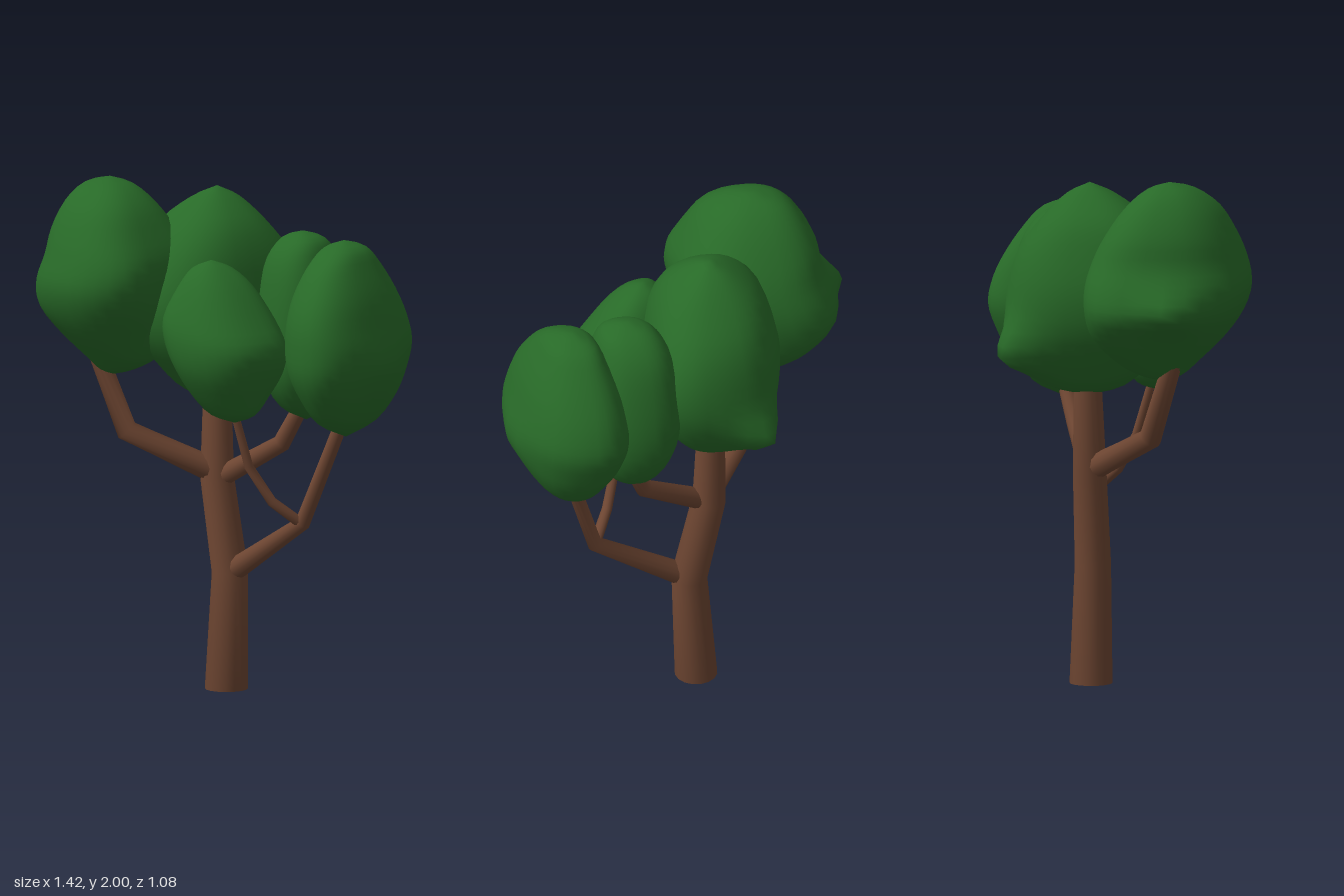
import * as THREE from 'three';

const bark = new THREE.MeshStandardMaterial({ color: 0x6e4632 });
const leaf = new THREE.MeshStandardMaterial({ color: 0x286a28 });
const V = (x, y, z) => new THREE.Vector3(x, y, z);

// Smooth skin over closed rings of points, with a point closing each end
function skin(rings, start, end) {
  const n = rings[0].length, last = rings.length - 1;
  const points = [...rings.flat(), start, end];
  const s = points.length - 2, e = s + 1, index = [];
  for (let i = 0; i < n; i++) {
    const k = (i + 1) % n;
    for (let j = 0; j < last; j++) {
      const a = j * n + i, b = j * n + k;
      index.push(a, b, a + n, b, b + n, a + n);
    }
    index.push(s, k, i, e, last * n + i, last * n + k);
  }
  const geometry = new THREE.BufferGeometry().setFromPoints(points);
  geometry.setIndex(index);
  geometry.computeVertexNormals();
  return geometry;
}

// Tapered, mitred limb through nodes [x, y, z, radius]
function limb(name, nodes, sides = 12) {
  const pts = nodes.map(([x, y, z]) => V(x, y, z));
  const rings = pts.map((p, i) => {
    const t = V(0, 0, 0);
    if (i > 0) t.add(p.clone().sub(pts[i - 1]).normalize());
    if (i < pts.length - 1) t.add(pts[i + 1].clone().sub(p).normalize());
    if (i === 0 && p.y === 0) t.set(0, 1, 0);
    t.normalize();
    const u = V(0, 0, 1).cross(t).normalize(), v = t.clone().cross(u);
    return Array.from({ length: sides }, (_, k) => {
      const a = (k / sides) * Math.PI * 2;
      return p.clone().addScaledVector(u, nodes[i][3] * Math.cos(a)).addScaledVector(v, nodes[i][3] * Math.sin(a));
    });
  });
  const mesh = new THREE.Mesh(skin(rings, pts[0].clone(), pts[pts.length - 1].clone()), bark);
  mesh.name = name;
  return mesh;
}

// Slightly squared-off wave, for fuller ovals
const full = w => Math.sign(w) * Math.abs(w) ** 0.86;

// Leaf clump from sections [y, xMin, xMax, zMin, zMax], top to bottom.
// skew leans each oval in plan; bumps are [x, y, z, width, push x, y, z]
function clump(name, sections, skew = 0, bumps = [], sides = 28) {
  const low = new THREE.CatmullRomCurve3(sections.map(s => V(s[1], s[0], s[3])), false, 'catmullrom');
  const high = new THREE.CatmullRomCurve3(sections.map(s => V(s[2], s[0], s[4])), false, 'catmullrom');
  const steps = (sections.length - 1) * 3;
  const rings = [];
  for (let j = 1; j < steps; j++) {
    const a = low.getPoint(j / steps), b = high.getPoint(j / steps);
    rings.push(Array.from({ length: sides }, (_, k) => {
      const t = (k / sides) * Math.PI * 2;
      const p = V((a.x + b.x) / 2 + (b.x - a.x) / 2 * full(Math.cos(t)), a.y,
        (a.z + b.z) / 2 + (b.z - a.z) / 2 * full(Math.sin(t + skew)));
      const from = p.clone();
      for (const [x, y, z, w, dx, dy, dz] of bumps) {
        const f = Math.exp(-from.distanceToSquared(V(x, y, z)) / (w * w));
        p.addScaledVector(V(dx, dy, dz), f);
      }
      return p;
    }));
  }
  const mesh = new THREE.Mesh(skin(rings, low.getPoint(0), low.getPoint(1)), leaf);
  mesh.name = name;
  return mesh;
}

export function createModel() {
  const tree = new THREE.Group();
  tree.name = 'tree';

  // Trunk with a flat, sharp-edged foot
  tree.add(limb('trunk', [[-0.058, 0, -0.1, 0.083], [-0.033, 0.46, -0.095, 0.07],
    [-0.11, 0.82, -0.1, 0.065], [-0.118, 1.3, -0.11, 0.05]], 16));
  const foot = new THREE.Mesh(new THREE.CircleGeometry(0.083, 16).rotateX(Math.PI / 2).translate(-0.058, -0.001, -0.1), bark);
  foot.name = 'trunkFoot';
  tree.add(foot);

  // Branches
  tree.add(
    limb('rightBranch', [[-0.1, 0.835, -0.1, 0.05], [-0.345, 1.0, 0.155, 0.044], [-0.42, 1.35, 0.26, 0.036]]),
    limb('backBranch', [[-0.09, 0.82, -0.1, 0.042], [0.165, 0.975, -0.18, 0.035], [0.26, 1.2, -0.25, 0.028]]),
    limb('leftBranch', [[-0.03, 0.455, -0.09, 0.046], [0.345, 0.695, -0.12, 0.03], [0.48, 1.15, -0.23, 0.026]]),
    limb('frontTwig', [[0.345, 0.69, -0.12, 0.022], [0.275, 0.78, -0.025, 0.02], [0.225, 0.92, 0.05, 0.018], [0.205, 1.2, 0.13, 0.015]]),
  );

  // Leaf clumps
  tree.add(
    clump('rightClump', [
      [2.0, -0.36, -0.36, 0.23, 0.23], [1.97, -0.47, -0.25, 0.14, 0.33], [1.9, -0.54, -0.16, 0.06, 0.42],
      [1.8, -0.59, -0.1, -0.01, 0.48], [1.7, -0.61, -0.06, -0.06, 0.52], [1.6, -0.65, -0.06, -0.09, 0.54],
      [1.5, -0.66, -0.08, -0.09, 0.51], [1.4, -0.58, -0.13, -0.06, 0.44], [1.3, -0.48, -0.19, 0.03, 0.34],
      [1.25, -0.42, -0.27, 0.12, 0.28], [1.225, -0.36, -0.36, 0.21, 0.21],
    ], 0.22, [[-0.66, 1.53, 0.26, 0.085, -0.065, 0, 0.01], [-0.14, 1.68, 0.03, 0.16, 0.035, 0, -0.03],
      [-0.06, 1.62, 0.4, 0.12, 0.02, 0, 0.01]]),
    clump('middleClump', [
      [1.955, -0.11, -0.11, -0.1, -0.1], [1.91, -0.2, -0.03, -0.19, 0], [1.82, -0.3, 0.06, -0.28, 0.12],
      [1.7, -0.35, 0.11, -0.36, 0.21], [1.55, -0.38, 0.13, -0.4, 0.26], [1.4, -0.36, 0.13, -0.41, 0.24],
      [1.27, -0.29, 0.09, -0.36, 0.15], [1.17, -0.21, 0.01, -0.27, 0.04], [1.125, -0.1, -0.1, -0.11, -0.11],
    ], 0, [[-0.24, 1.31, -0.33, 0.1, -0.05, -0.02, -0.1], [0.06, 1.55, -0.34, 0.2, 0.04, 0, -0.04]]),
    clump('backClump', [
      [1.81, 0.24, 0.24, -0.22, -0.22], [1.78, 0.15, 0.33, -0.31, -0.14], [1.7, 0.09, 0.37, -0.38, -0.08],
      [1.57, 0.06, 0.4, -0.42, -0.05], [1.4, 0.05, 0.41, -0.44, -0.04], [1.25, 0.08, 0.39, -0.42, -0.05],
      [1.13, 0.15, 0.33, -0.35, -0.12], [1.07, 0.24, 0.24, -0.24, -0.24],
    ], 0.2),
    clump('leftClump', [
      [1.8, 0.46, 0.46, -0.23, -0.23], [1.77, 0.38, 0.55, -0.33, -0.13], [1.7, 0.34, 0.6, -0.4, -0.04],
      [1.6, 0.3, 0.65, -0.47, 0.03], [1.5, 0.28, 0.68, -0.52, 0.07], [1.4, 0.27, 0.7, -0.54, 0.08],
      [1.3, 0.29, 0.69, -0.51, 0.07], [1.2, 0.34, 0.65, -0.46, 0.02], [1.1, 0.4, 0.58, -0.37, -0.07],
      [1.035, 0.47, 0.47, -0.23, -0.23],
    ], 0.3, [[0.69, 1.33, -0.22, 0.09, 0.02, 0, 0]]),
    clump('frontClump', [
      [1.72, 0.1, 0.1, 0.13, 0.13], [1.69, 0.04, 0.17, 0.06, 0.2], [1.62, 0, 0.25, 0, 0.26],
      [1.5, -0.05, 0.34, -0.05, 0.315], [1.4, -0.03, 0.4, -0.06, 0.33], [1.3, 0.02, 0.385, -0.05, 0.31],
      [1.2, 0.07, 0.335, 0, 0.25], [1.13, 0.13, 0.29, 0.05, 0.19], [1.1, 0.22, 0.22, 0.12, 0.12],
    ], -0.2),
  );
  return tree;
}
